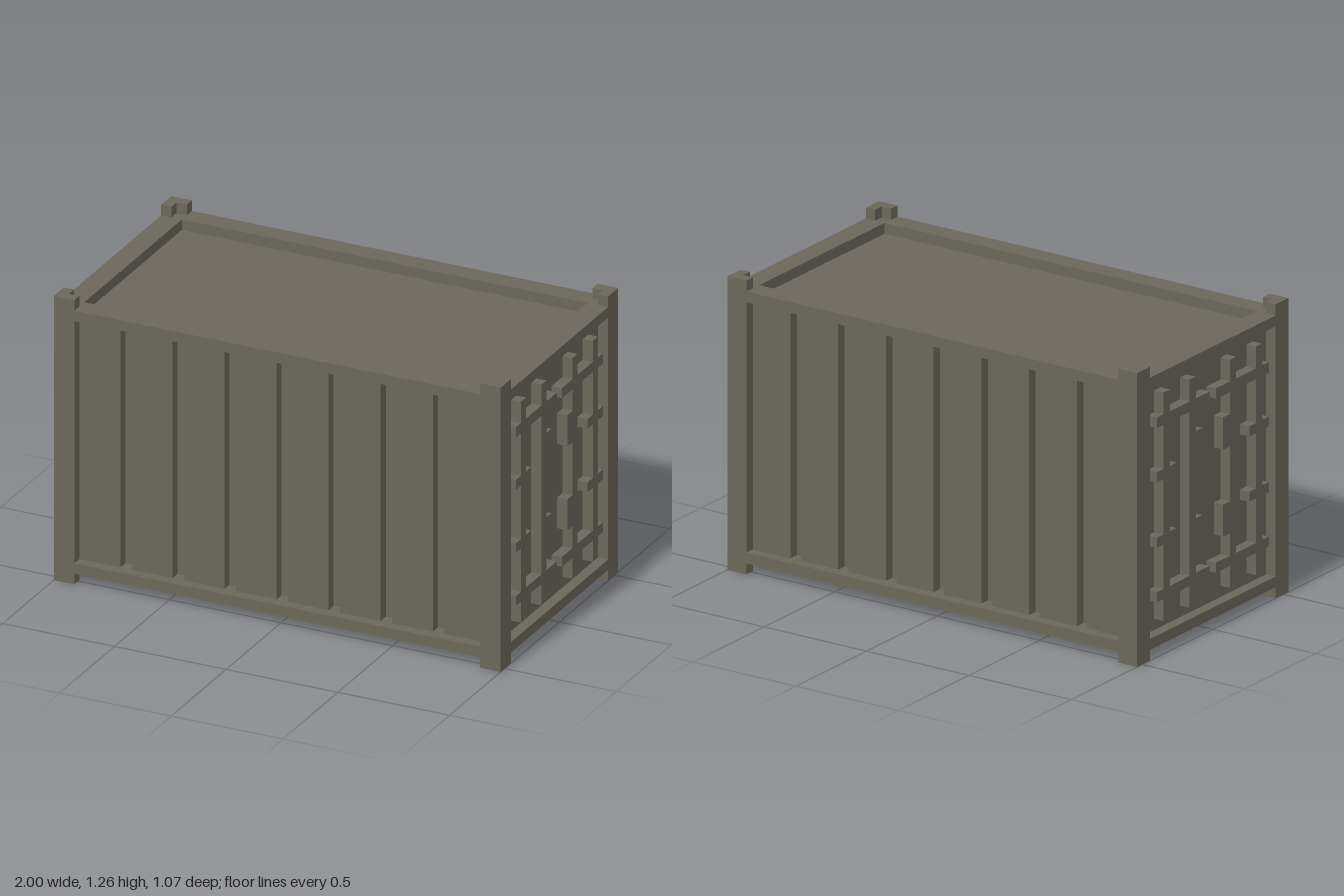
import * as THREE from 'three';

export function createModel() {
  const root = new THREE.Group();
  root.name = 'cargoContainer';
  const paint = new THREE.MeshStandardMaterial({ color: 0x6b6759 });
  paint.name = 'olive grey paint';

  // Overall half sizes, frame thickness and half thickness
  const X = 1, Z = 0.535, T = 0.092, H = 0.046;
  const LOW = 0.048, HIGH = 1.21, TOP = 1.257;

  // Box given by its two extreme corners
  function box(parent, name, x0, x1, y0, y1, z0, z1) {
    const mesh = new THREE.Mesh(new THREE.BoxGeometry(x1 - x0, y1 - y0, z1 - z0), paint);
    mesh.position.set((x0 + x1) / 2, (y0 + y1) / 2, (z0 + z1) / 2);
    mesh.name = name;
    parent.add(mesh);
  }
  function group(name) {
    const g = new THREE.Group();
    g.name = name;
    root.add(g);
    return g;
  }

  // Inner body: its top is the sunken roof, its bottom the sunken floor
  box(root, 'body', -X + H, X - H, LOW + H, HIGH - H, -Z + T, Z - T);

  // Corner posts with L-shaped stacking feet above and below
  const foot = new THREE.Shape();
  [[0, 0], [T, 0], [T, H], [H, H], [H, T], [0, T]].forEach(([a, b], i) =>
    i ? foot.lineTo(a, b) : foot.moveTo(a, b));
  const footHeight = TOP - HIGH;
  const footGeo = new THREE.ExtrudeGeometry(foot, { depth: footHeight, bevelEnabled: false });
  footGeo.rotateX(Math.PI / 2); // shape in xz, extruded downwards
  for (let i = 0; i < 4; i++) {
    const sx = i === 0 || i === 3 ? -1 : 1;
    const sz = i < 2 ? -1 : 1;
    const post = group('cornerPost');
    box(post, 'post', Math.min(sx * X, sx * (X - T)), Math.max(sx * X, sx * (X - T)), LOW, HIGH,
      Math.min(sz * Z, sz * (Z - T)), Math.max(sz * Z, sz * (Z - T)));
    for (const y of [TOP, LOW]) {
      const m = new THREE.Mesh(footGeo, paint);
      m.position.set(sx * X, y, sz * Z);
      m.rotation.y = -i * Math.PI / 2;
      m.name = 'cornerFoot';
      post.add(m);
    }
  }

  // Long sides: rails and seven grooves between raised wall panels
  const pitch = 0.233, groove = 0.051, count = 7;
  for (const s of [1, -1]) {
    const side = group(s > 0 ? 'frontSide' : 'backSide');
    if (s < 0) side.rotation.y = Math.PI;
    box(side, 'topRail', -X + T, X - T, HIGH - H, HIGH, Z - T, Z);
    box(side, 'bottomRail', -X + T, X - T, LOW, LOW + H, Z - T, Z);
    for (let i = 0; i <= count; i++) {
      const mid = (i - count / 2) * pitch;
      const x0 = i === 0 ? -X + T : mid - (pitch - groove) / 2;
      const x1 = i === count ? X - T : mid + (pitch - groove) / 2;
      box(side, 'wallPanel', x0, x1, LOW + H, HIGH - H, Z - T, Z - H);
    }
  }

  // One door leaf's raised bars: z0, z1, y0, y1
  const bars = [
    [0.303, 0.35, 0.142, 1.118], [0.12, 0.164, 0.142, 1.118], // upright bars
    [0.073, 0.12, 0.748, 0.885], [0.073, 0.12, 0.376, 0.512], // latches
  ];
  for (const [y0, y1] of [[0.236, 0.279], [0.98, 1.025]]) { // cross bars
    bars.push([0.35, 0.396, y0, y1], [0.164, 0.303, y0, y1], [0.023, 0.12, y0, y1]);
  }
  for (const [y0, y1] of [[0.469, 0.512], [0.748, 0.792]]) { // short brackets
    bars.push([0.35, 0.396, y0, y1], [0.257, 0.303, y0, y1]);
  }

  // Both ends: rails, recessed door wall and bars
  for (const s of [1, -1]) {
    const end = group(s > 0 ? 'leftEnd' : 'rightEnd');
    if (s < 0) end.rotation.y = Math.PI;
    box(end, 'topRail', X - T, X, HIGH - H, HIGH, -Z + T, Z - T);
    box(end, 'bottomRail', X - T, X, LOW, LOW + H, -Z + T, Z - T);
    for (const [z0, z1, y0, y1] of bars) {
      box(end, 'doorBar', X - H, X, y0, y1, z0, z1);
      box(end, 'doorBar', X - H, X, y0, y1, -z1, -z0);
    }
  }
  return root;
}
